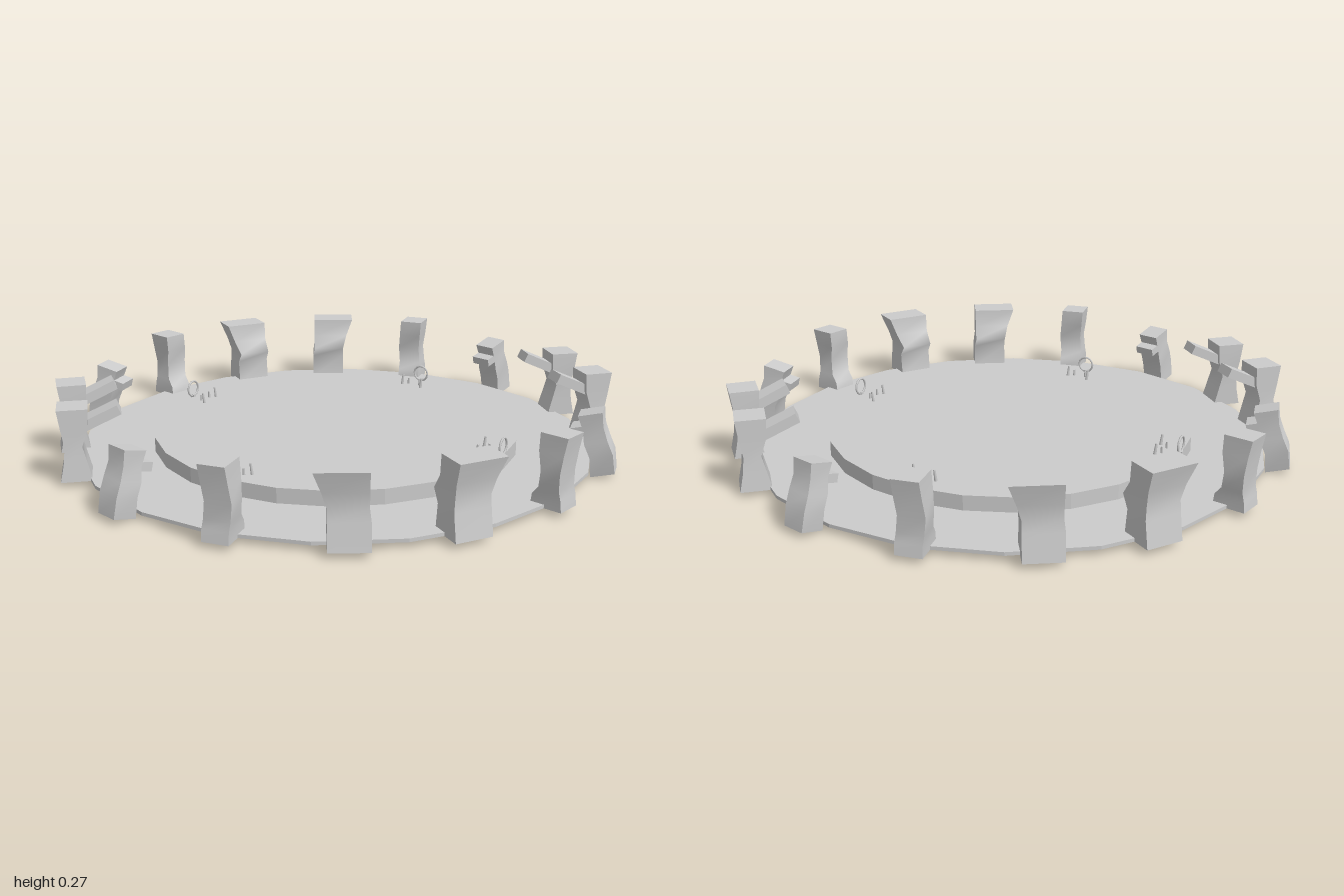
import * as THREE from 'three';

const mat = new THREE.MeshStandardMaterial({ color: 0xcccccc });
const flat = new THREE.MeshStandardMaterial({ color: 0xcccccc, flatShading: true });

function add(parent, name, geometry, x = 0, y = 0, z = 0, material = mat) {
  const mesh = new THREE.Mesh(geometry, material);
  mesh.name = name;
  mesh.position.set(x, y, z);
  parent.add(mesh);
  return mesh;
}

// Wavy stone: a box whose rows follow [y, sideMin, sideMax, inner, outer], bottom to top
function stone(rows, mirror) {
  const n = rows.length - 1;
  const g = new THREE.BoxGeometry(1, 1, 1, 1, n, 1);
  const p = g.attributes.position;
  for (let i = 0; i < p.count; i++) {
    const [y, a, b, inner, outer] = rows[Math.round((p.getY(i) + 0.5) * n)];
    const [u0, u1] = mirror < 0 ? [-b, -a] : [a, b];
    p.setXYZ(i, p.getX(i) < 0 ? u0 : u1, y, p.getZ(i) < 0 ? inner : outer);
  }
  g.computeVertexNormals();
  return g;
}

// One quadrant of the stone circle; facing is in degrees from +z towards +x
const stones = [
  { name: 'broadStone', x: 0.2, z: 0.91, facing: 12, rows: [
    [0.02, -0.085, 0.045, -0.065, 0.055], [0.11, -0.085, 0.045, -0.055, 0.04],
    [0.15, -0.08, 0.045, -0.088, 0.035], [0.2, -0.08, 0.06, -0.055, 0.04],
    [0.27, -0.08, 0.086, -0.05, 0.058]] },
  { name: 'uprightStone', x: 0.54, z: 0.775, facing: 34, rows: [
    [0.02, -0.048, 0.042, -0.07, 0.045], [0.06, -0.048, 0.042, -0.065, 0.04],
    [0.09, -0.052, 0.038, -0.04, 0.035], [0.15, -0.06, 0.03, -0.03, 0.04],
    [0.21, -0.052, 0.038, -0.045, 0.045], [0.27, -0.048, 0.042, -0.045, 0.055]] },
  { name: 'leaningStone', x: 0.81, z: 0.5, facing: 58, lean: -0.25, rows: [
    [0, -0.042, 0.042, -0.042, 0.042], [0.07, -0.05, 0.04, -0.03, 0.05],
    [0.12, -0.045, 0.045, -0.04, 0.04], [0.17, -0.04, 0.04, -0.035, 0.035],
    [0.222, -0.042, 0.042, -0.042, 0.042]] },
  { name: 'beamStone', x: 0.95, z: 0.145, facing: 92, rows: [
    [0.02, -0.065, 0.05, -0.06, 0.048], [0.08, -0.06, 0.05, -0.045, 0.035],
    [0.14, -0.055, 0.05, -0.03, 0.028], [0.2, -0.055, 0.055, -0.05, 0.038],
    [0.27, -0.055, 0.055, -0.055, 0.048]] },
];

export function createModel() {
  const model = new THREE.Group();
  model.name = 'stoneCircle';

  // Floor and raised platform
  add(model, 'floor', new THREE.CylinderGeometry(0.935, 0.935, 0.012, 20), 0, 0.026, 0, flat);
  add(model, 'platform', new THREE.CylinderGeometry(0.667, 0.667, 0.055, 24), 0, 0.0575, 0, flat);

  for (const sx of [1, -1]) for (const sz of [1, -1]) {
    const turn = deg => {
      const t = THREE.MathUtils.degToRad(deg);
      return Math.atan2(sx * Math.sin(t), sz * Math.cos(t));
    };

    // Standing stones with their slabs and beams
    for (const s of stones) {
      const holder = new THREE.Group();
      holder.name = s.name;
      holder.position.set(sx * s.x, 0, sz * s.z);
      holder.rotation.y = turn(s.facing);
      model.add(holder);
      const body = add(holder, s.name + 'Body', stone(s.rows, sx * sz));
      if (s.lean) {
        body.rotation.x = s.lean;
        body.position.set(0, 0.012, 0.025);
        add(body, 'ledgeSlab', new THREE.BoxGeometry(0.08, 0.03, 0.07), 0, 0.168, -0.042);
      }
      if (s.name === 'beamStone') {
        const beam = add(holder, 'beam', new THREE.BoxGeometry(0.08, 0.035, 0.16), 0, 0.225, -0.085);
        beam.rotation.x = 0.42;
      }
    }

    // Iron ring with a foot, and two little pegs
    const ring = add(model, 'ring', new THREE.TorusGeometry(0.03, 0.004, 6, 14), sx * 0.475, 0.118, sz * 0.465);
    ring.rotation.y = turn(45);
    add(ring, 'ringFoot', new THREE.BoxGeometry(0.014, 0.012, 0.014), 0, -0.03, 0);
    for (const [x, z] of [[0.445, 0.37], [0.39, 0.443]]) {
      const peg = add(model, 'peg', new THREE.CylinderGeometry(0.004, 0.006, 0.042, 6), sx * x, 0.103, sz * z);
      peg.rotation.z = -sx * 0.12;
    }
    for (const [x, z] of [[0.45, 0.405], [0.415, 0.44]])
      add(model, 'stud', new THREE.CylinderGeometry(0.004, 0.005, 0.025, 6), sx * x, 0.096, sz * z);
  }
  return model;
}
